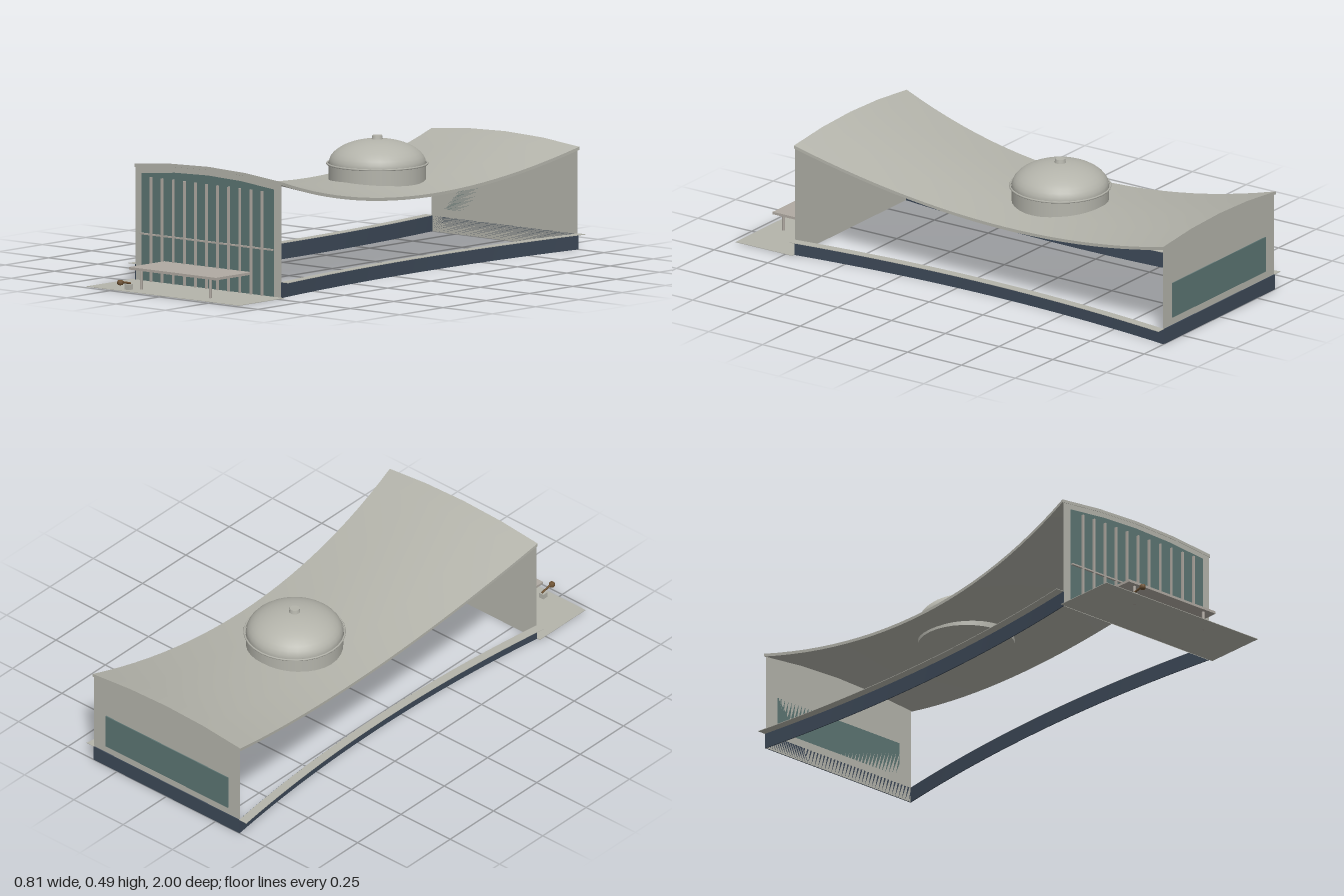
import * as THREE from 'three';

const mat = (name, color, side = THREE.FrontSide) => {
  const m = new THREE.MeshStandardMaterial({ color, side });
  m.name = name;
  return m;
};

const BACK = -1, FRONT = 0.716, MID = (BACK + FRONT) / 2, HALF = (FRONT - BACK) / 2;
const CROWN = 0.024, THICK = 0.012;

// Hall rules: pinched plan width and sagging ridge height along z
const t = z => (z - MID) / HALF;
const halfWidth = z => 0.315 + 0.06 * t(z) ** 2;
const ridge = z => 0.445 + 0.025 * t(z) - 0.124 * (1 - t(z) ** 2);

export function createModel() {
  const group = new THREE.Group();
  const concrete = mat('concrete', 0xb4b4ab, THREE.DoubleSide);
  const glass = mat('teal glass', 0x5c7573, THREE.DoubleSide);
  const navy = mat('navy base', 0x3d4958, THREE.DoubleSide);
  const metal = mat('pale metal', 0xb0aaa2);
  const bronze = mat('bronze', 0x6e5233);

  const add = (name, geometry, material, x = 0, y = 0, z = 0) => {
    const mesh = new THREE.Mesh(geometry, material);
    mesh.name = name;
    mesh.position.set(x, y, z);
    group.add(mesh);
    return mesh;
  };
  const box = (name, w, h, d, material, x, y, z) =>
    add(name, new THREE.BoxGeometry(w, h, d), material, x, y, z);

  // Moves every vertex of a unit box (each axis -0.5..0.5) by a rule
  const bend = (geometry, rule) => {
    const p = geometry.attributes.position;
    for (let i = 0; i < p.count; i++) {
      const v = rule(p.getX(i), p.getY(i), MID + p.getZ(i) * 2 * HALF);
      p.setXYZ(i, v[0], v[1], v[2]);
    }
    geometry.computeVertexNormals();
    return geometry;
  };

  // Saddle roof slab
  add('roof', bend(new THREE.BoxGeometry(1, 1, 1, 4, 1, 24), (x, y, z) => [
    2 * x * halfWidth(z),
    ridge(z) - CROWN * (2 * x) ** 2 + (y - 0.5) * THICK,
    z,
  ]), concrete);

  // Curved base walls and the flat ledges outside them
  const sideStrip = (name, side, inner, outer, y0, y1, material) =>
    add(name, bend(new THREE.BoxGeometry(1, 1, 1, 1, 1, 24), (x, y, z) => [
      side * halfWidth(z) + (x < 0 ? -1 : 1) * (outer - inner) / 2 + side * (inner + outer) / 2,
      y < 0 ? y0 : y1,
      z,
    ]), material);
  for (const [side, label] of [[1, 'left'], [-1, 'right']]) {
    sideStrip(label + 'BaseWall', side, -0.008, -0.004, 0, 0.06, navy);
    sideStrip(label + 'Ledge', side, -0.006, 0.03, 0.06, 0.062, concrete);
  }

  // Thin end panel whose top follows the crown of the roof
  const crownedPanel = (w, y0, top, drop) => {
    const s = new THREE.Shape();
    s.moveTo(-w, y0);
    s.lineTo(w, y0);
    for (let i = 2; i >= -2; i--) s.lineTo(w * i / 2, top - drop * (i / 2) ** 2);
    return new THREE.ShapeGeometry(s);
  };
  add('frontWall', crownedPanel(0.37, 0, 0.464, CROWN), concrete, 0, 0, FRONT - 0.001);
  add('frontGlass', crownedPanel(0.336, 0.002, 0.437, 0.022), glass, 0, 0, FRONT + 0.003);
  add('backWall', crownedPanel(0.37, 0, 0.414, CROWN), concrete, 0, 0, BACK + 0.004);
  box('backBase', 0.74, 0.06, 0.004, navy, 0, 0.03, BACK + 0.002);
  box('backWindow', 0.62, 0.14, 0.004, glass, 0, 0.16, BACK + 0.002);

  // Front glazing bars
  for (let i = -5; i <= 5; i++)
    box('mullion', 0.006, 0.405, 0.01, metal, i * 0.0562, 0.2025, 0.727);
  box('transom', 0.672, 0.006, 0.008, metal, 0, 0.183, 0.726);

  // Entrance canopy on two posts
  box('canopy', 0.44, 0.01, 0.205, metal, 0, 0.081, 0.821);
  for (const x of [-0.175, 0.175])
    add('canopyPost', new THREE.CylinderGeometry(0.006, 0.006, 0.076, 8), metal, x, 0.038, 0.904);

  // Forecourt paving
  box('forecourt', 0.77, 0.002, 0.262, concrete, 0, 0.001, 0.849);

  // Drum, lip, dome and cap on the roof
  const domeZ = -0.26;
  add('drum', new THREE.CylinderGeometry(0.186, 0.186, 0.09, 32), concrete, 0, 0.333, domeZ);
  const lip = add('domeLip', new THREE.TorusGeometry(0.192, 0.004, 6, 32), concrete, 0, 0.378, domeZ);
  lip.rotation.x = Math.PI / 2;
  const dome = add('dome',
    new THREE.SphereGeometry(0.186, 32, 10, 0, Math.PI * 2, 0, Math.PI / 2), concrete, 0, 0.378, domeZ);
  dome.scale.y = 0.094 / 0.186;
  add('domeCap', new THREE.CylinderGeometry(0.019, 0.022, 0.016, 12), concrete, 0, 0.478, domeZ);

  // Small bronze piece on a plinth
  box('plinth', 0.022, 0.022, 0.024, concrete, -0.208, 0.012, 0.938);
  const arm = add('bronzeArm', new THREE.CylinderGeometry(0.004, 0.004, 0.056, 8), bronze, -0.208, 0.031, 0.958);
  arm.rotation.x = Math.PI / 2 - 0.2;
  const profile = [[0, 0.025], [0.009, 0.025], [0.012, 0.029], [0.012, 0.038], [0.009, 0.043], [0, 0.043]];
  add('bronzeHead', new THREE.LatheGeometry(profile.map(p => new THREE.Vector2(...p)), 12),
    bronze, -0.208, 0, 0.988);

  return group;
}
